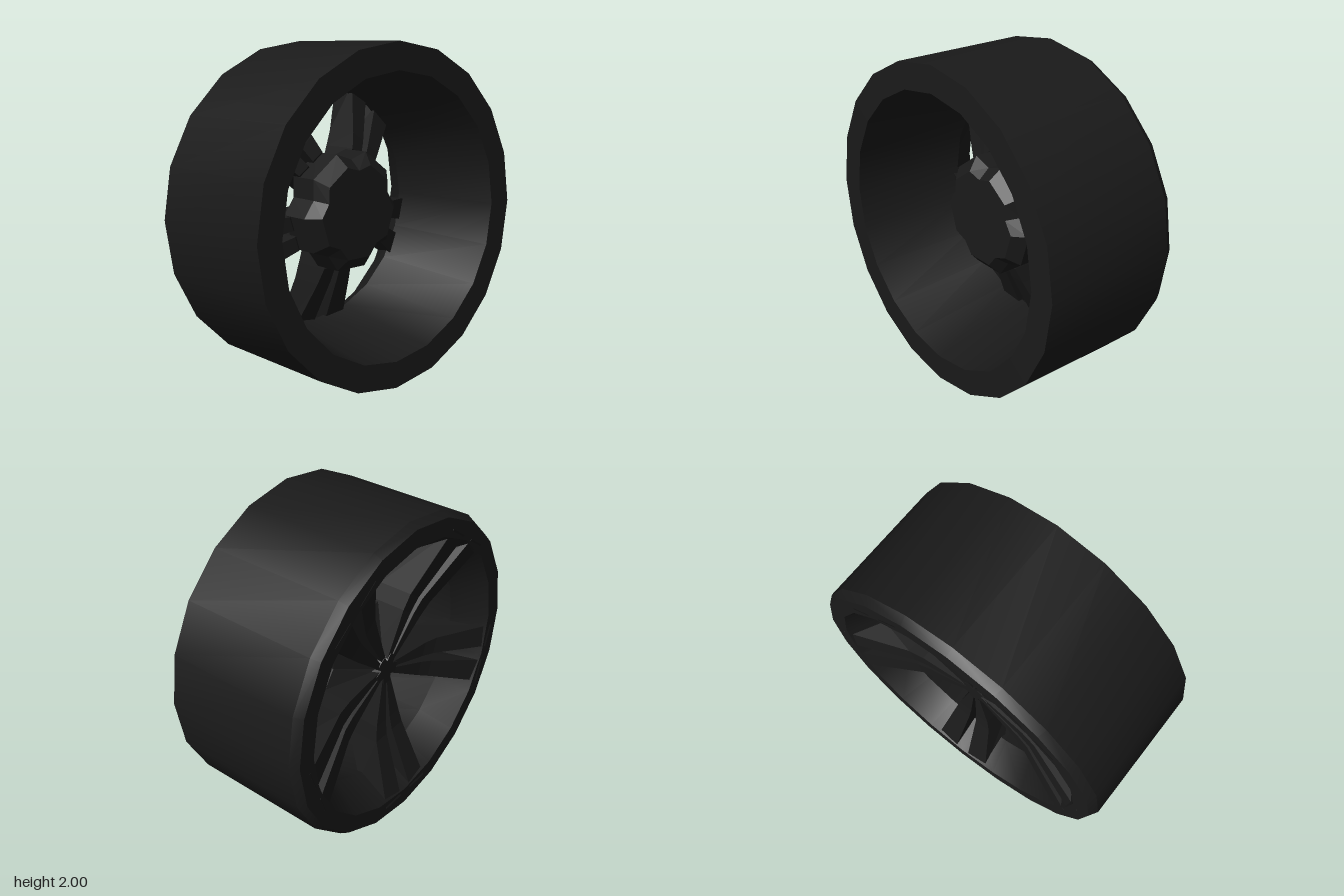
import * as THREE from 'three';
import { toCreasedNormals } from 'three/addons/utils/BufferGeometryUtils.js';

const SPOKES = 5;
const STEP = (Math.PI * 2) / SPOKES;

// Skins a list of equal-length rings (counter-clockwise about the direction of travel) and caps both ends.
function loft(rings) {
  const pos = [];
  const tri = (a, b, c) => pos.push(...a, ...b, ...c);
  const n = rings[0].length;
  const middle = (ring) => [0, 1, 2].map((k) => ring.reduce((s, p) => s + p[k], 0) / n);
  const first = rings[0], last = rings[rings.length - 1];
  const m0 = middle(first), m1 = middle(last);
  for (let i = 0; i < n; i++) {
    const j = (i + 1) % n;
    for (let s = 0; s < rings.length - 1; s++) {
      const a = rings[s], b = rings[s + 1];
      tri(a[i], a[j], b[j]);
      tri(a[i], b[j], b[i]);
    }
    tri(m0, first[j], first[i]);
    tri(m1, last[i], last[j]);
  }
  const geo = new THREE.BufferGeometry();
  geo.setAttribute('position', new THREE.Float32BufferAttribute(pos, 3));
  geo.computeVertexNormals();
  return geo;
}

// Fifteen-sided hub outline: two corners per spoke and a notch between spokes.
function hubRing(x, corner, notch) {
  const ring = [];
  for (let k = 0; k < SPOKES; k++) {
    const c = Math.PI + k * STEP;
    for (const [da, r] of [[-0.304, corner], [0.304, corner], [STEP / 2, notch]]) {
      ring.push([x, Math.cos(c + da) * r, Math.sin(c + da) * r]);
    }
  }
  return ring;
}

// One leg of a double spoke, running down from the hub to the rim.
function legGeometry(side) {
  // front radius, back radius, near edge, far edge, front x, back x
  const stations = [
    [0.06, 0.06, 0.004, 0.035, -0.28, -0.15],
    [0.36, 0.36, 0.02, 0.11, -0.3, -0.06],
    [0.46, 0.46, 0.026, 0.13, -0.315, -0.1],
    [0.88, 0.76, 0.05, 0.2, -0.454, -0.24],
  ];
  return loft(stations.map(([rf, rb, near, far, xf, xb]) => {
    const lo = side > 0 ? near : -far;
    const hi = side > 0 ? far : -near;
    return [[xf, -rf, lo], [xb, -rb, lo], [xb, -rb, hi], [xf, -rf, hi]];
  }));
}

export function createModel() {
  const model = new THREE.Group();
  model.name = 'wheel';
  const wheel = new THREE.Group();
  wheel.name = 'wheelAssembly';
  wheel.position.y = 1;
  model.add(wheel);

  const smooth = new THREE.MeshStandardMaterial({ color: 0x1a1a1a });
  const flat = new THREE.MeshStandardMaterial({ color: 0x1a1a1a, flatShading: true });
  const add = (name, geo, mat, parent = wheel) => {
    const mesh = new THREE.Mesh(geo, mat);
    mesh.name = name;
    parent.add(mesh);
    return mesh;
  };

  // Tyre and barrel: closed profile of radius and axial position
  const profile = [
    [0.97, -0.45], [1, -0.4], [1, 0.45], [0.84, 0.45],
    [0.73, -0.25], [0.86, -0.45], [0.97, -0.45],
  ].map(([r, a]) => new THREE.Vector2(r, a));
  const rim = new THREE.LatheGeometry(profile, 20).rotateZ(-Math.PI / 2);
  add('tyreAndRim', toCreasedNormals(rim, 0.5), smooth);

  // Hub body, tapering to the front and chamfered at the back
  add('hub', loft([
    hubRing(-0.25, 0.08, 0.06),
    hubRing(-0.12, 0.367, 0.31),
    hubRing(0.06, 0.367, 0.31),
    hubRing(0.13, 0.29, 0.25),
  ]), flat);

  // Centre cap
  add('centreCap', loft([hubRing(-0.285, 0.1, 0.06), hubRing(-0.22, 0.12, 0.08)]), flat);

  // Five double spokes
  const legs = [legGeometry(1), legGeometry(-1)];
  for (let k = 0; k < SPOKES; k++) {
    const spoke = new THREE.Group();
    spoke.name = 'doubleSpoke';
    spoke.rotation.x = k * STEP;
    legs.forEach((geo) => add('spokeLeg', geo, flat, spoke));
    wheel.add(spoke);
  }
  return model;
}
